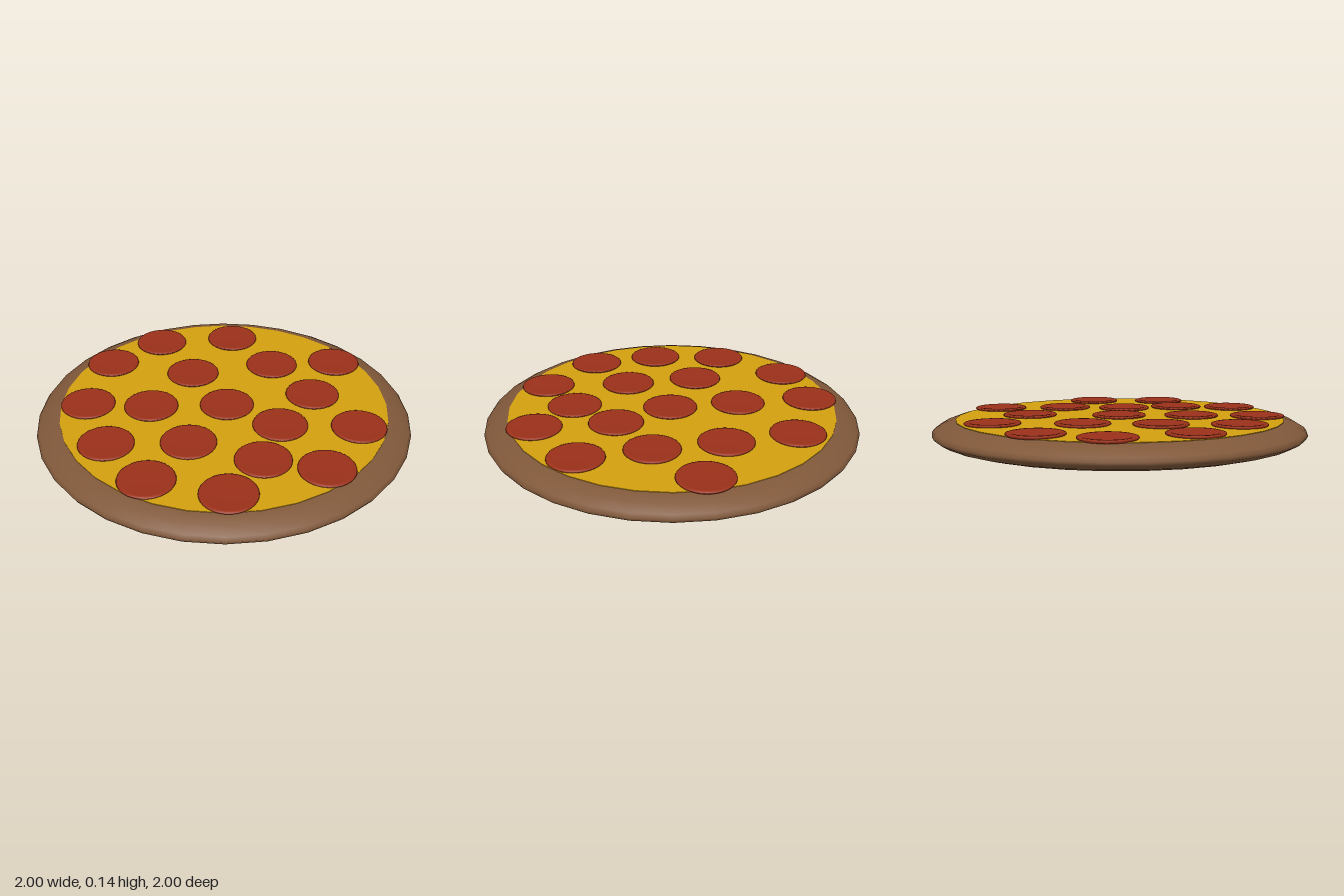
import * as THREE from 'three';

const material = (color) => new THREE.MeshStandardMaterial({ color });

// Solid of revolution from [radius, height] pairs, listed from bottom to top
function lathe(name, points, segments, mat) {
  const profile = points.map(([r, y]) => new THREE.Vector2(r, y));
  const mesh = new THREE.Mesh(new THREE.LatheGeometry(profile, segments), mat);
  mesh.name = name;
  return mesh;
}

export function createModel() {
  const pizza = new THREE.Group();
  pizza.name = 'pizza';

  // Rounded crust with a flat underside
  pizza.add(lathe('crust', [
    [0, 0.005], [0.84, 0.005], [0.88, 0.008], [0.95, 0.027], [0.99, 0.05], [1, 0.068],
    [0.985, 0.088], [0.94, 0.115], [0.89, 0.132], [0.865, 0.134], [0, 0.128],
  ], 32, material(0x80583a)));

  // Flat cheese layer
  const cheese = new THREE.Mesh(new THREE.CylinderGeometry(0.875, 0.875, 0.02, 32), material(0xd3a010));
  cheese.name = 'cheese';
  cheese.position.y = 0.126;
  pizza.add(cheese);

  // Pepperoni slices with a slightly raised rim, placed by [x, z]
  const slicePositions = [
    [0.29, -0.71], [-0.35, -0.62], [0.005, -0.49], [-0.675, -0.345], [0.35, -0.345],
    [0.7, -0.21], [-0.32, -0.165], [-0.765, 0], [0.015, -0.005], [0.35, 0],
    [0.725, 0.19], [-0.315, 0.23], [0.43, 0.3], [0.04, 0.385], [-0.61, 0.4],
    [0.43, 0.61], [-0.3, 0.625], [0.045, 0.74],
  ];
  const pepperoniMaterial = material(0x9a3019);
  const slices = new THREE.Group();
  slices.name = 'pepperoniSlices';
  slicePositions.forEach(([x, z]) => {
    const slice = lathe('pepperoni', [
      [0, -0.008], [0.136, -0.008], [0.145, 0], [0.143, 0.006], [0.134, 0.009],
      [0.12, 0.009], [0.11, 0.006], [0, 0.006],
    ], 32, pepperoniMaterial);
    slice.position.set(x, 0.14, z);
    slices.add(slice);
  });
  pizza.add(slices);

  return pizza;
}
